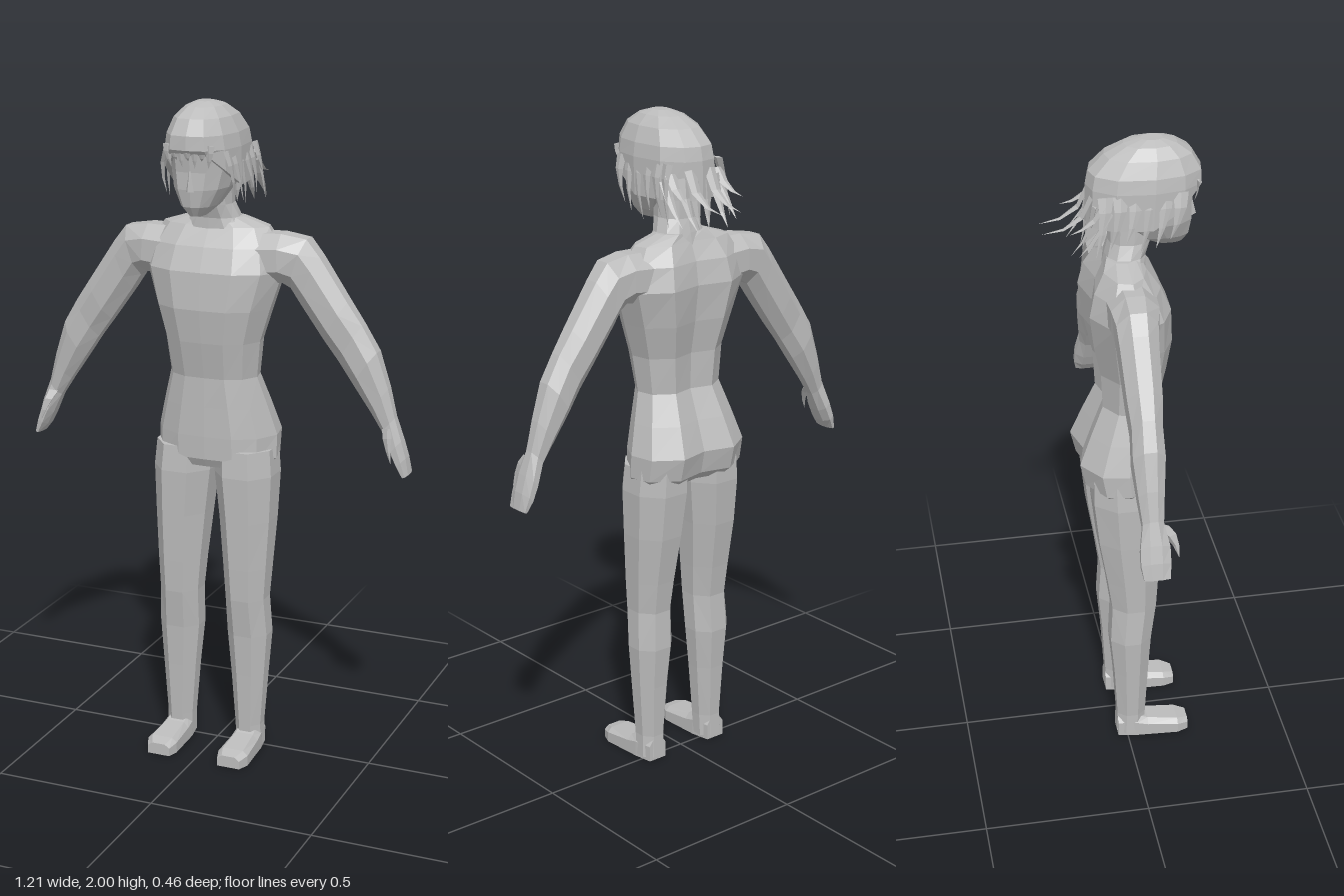
import * as THREE from 'three';

const grey = new THREE.MeshStandardMaterial({ color: 0xbcbcbc });
const V = (x, y, z) => new THREE.Vector3(x, y, z);

// Joins rings of equal length into a closed, faceted skin that always faces outward
function loft(rings) {
  const tris = [], n = rings[0].length, last = rings.length - 1;
  const centre = r => r.reduce((s, p) => s.add(p), V(0, 0, 0)).divideScalar(n);
  const bottom = centre(rings[0]), top = centre(rings[last]);
  for (let j = 0; j < n; j++) {
    const k = (j + 1) % n;
    for (let i = 0; i < last; i++) {
      const [a, b, c, d] = [rings[i][j], rings[i][k], rings[i + 1][k], rings[i + 1][j]];
      tris.push([a, b, c], [a, c, d]);
    }
    tris.push([bottom, rings[0][k], rings[0][j]], [top, rings[last][j], rings[last][k]]);
  }
  const volume = tris.reduce((s, [a, b, c]) => s + a.dot(b.clone().cross(c)), 0);
  if (volume < 0) tris.forEach(t => t.reverse());
  const g = new THREE.BufferGeometry().setFromPoints(tris.flat());
  g.computeVertexNormals();
  return g;
}

// Right-hand halves of cross-sections: x fraction, depth fraction (1 front, -1 back)
const BODY = [[0, 1], [0.45, 0.97], [0.8, 0.68], [1, 0.1], [0.92, -0.55], [0.5, -1], [0, -0.8]];
const SKULL = [[0, 1], [0.5, 0.95], [0.86, 0.62], [1, 0.1], [0.9, -0.55], [0.5, -0.92], [0, -1]];
const OCT = [[0.45, 1], [1, 0.4], [1, -0.4], [0.45, -1], [-0.45, -1], [-1, -0.4], [-1, 0.4], [-0.45, 1]];
const closed = half => [...half, ...half.slice(1, -1).reverse().map(([x, z]) => [-x, z])];

// Symmetric horizontal ring from [height, half width, front z, back z]
const slice = (half, [y, w, f, b], drop = () => 0) => closed(half).map(([x, z]) =>
  V(x * w, y - drop(z), (f + b) / 2 + z * (f - b) / 2));

// Flat tapered blade along a curve
function blade(points, width, thick, across) {
  const curve = new THREE.CatmullRomCurve3(points.map(p => V(...p)));
  const side = V(...across).normalize();
  return loft([0, 0.35, 0.7, 1].map(t => {
    const p = curve.getPoint(t), s = Math.max(0.02, 1 - t ** 1.4);
    const normal = side.clone().cross(curve.getTangent(t)).normalize();
    return [[width, 0], [0, thick], [-width, 0], [0, -thick]].map(([u, v]) =>
      p.clone().addScaledVector(side, u * s).addScaledVector(normal, v * s));
  }));
}

export function createModel() {
  const model = new THREE.Group();
  const add = (name, geometry, parent = model) => {
    const m = new THREE.Mesh(geometry, grey);
    m.name = name;
    parent.add(m);
    return m;
  };

  // Torso from hips to shoulders
  add('torso', loft([
    [0.915, 0.17, 0.09, -0.09], [0.94, 0.19, 0.103, -0.118], [1.01, 0.19, 0.105, -0.135],
    [1.1, 0.165, 0.105, -0.1], [1.19, 0.138, 0.105, -0.062], [1.3, 0.15, 0.128, -0.068],
    [1.4, 0.18, 0.142, -0.09], [1.51, 0.215, 0.135, -0.105], [1.58, 0.2, 0.105, -0.09],
    [1.635, 0.165, 0.065, -0.06], [1.66, 0.085, 0.05, -0.045]
  ].map(r => slice(BODY, r))));

  add('neck', loft([
    [1.61, 0.11, 0.07, -0.055], [1.66, 0.075, 0.07, -0.045],
    [1.7, 0.058, 0.085, -0.035], [1.8, 0.056, 0.1, -0.035]
  ].map(r => slice(SKULL, r))));

  // Head with narrow jaw and small nose
  add('head', loft([
    [1.682, 0.022, 0.178, 0.1], [1.71, 0.05, 0.196, 0.04], [1.76, 0.078, 0.203, -0.02],
    [1.81, 0.09, 0.202, -0.06], [1.87, 0.094, 0.21, -0.075], [1.93, 0.08, 0.19, -0.05]
  ].map(r => slice(SKULL, r))));
  add('nose', loft([
    [V(-0.016, 1.755, 0.195), V(0, 1.758, 0.219), V(0.016, 1.755, 0.195)],
    [V(-0.005, 1.815, 0.198), V(0, 1.815, 0.205), V(0.005, 1.815, 0.198)]
  ]));

  // Hair cap, cut high above the face and low at the nape
  const hair = new THREE.Group();
  hair.name = 'hair';
  model.add(hair);
  const drop = z => z > 0.9 ? 0 : z > 0.5 ? 0.05 : 0.1;
  add('hairCap', loft([
    slice(SKULL, [1.865, 0.108, 0.222, -0.1], drop),
    ...[[1.875, 0.107, 0.23, -0.098], [1.915, 0.1, 0.228, -0.09], [1.96, 0.08, 0.202, -0.045],
      [1.988, 0.052, 0.16, 0.01], [2, 0.024, 0.12, 0.06]].map(r => slice(SKULL, r))
  ]), hair);

  // Fringe
  for (let i = -3; i <= 3; i++) {
    const x = i * 0.021, z = 0.221 - Math.abs(i) * 0.004;
    add('fringeLock', blade([[x, 1.89, z], [x, 1.86, z], [x * 0.9, i % 2 ? 1.825 : 1.845, z - 0.008]],
      0.016, 0.004, [1, 0, 0]), hair);
  }

  for (const s of [-1, 1]) {
    const side = s > 0 ? 'left' : 'right';
    // Side and back locks
    for (let i = 0; i < 6; i++) {
      const z = 0.155 - i * 0.042, tip = 1.735 - (i % 3) * 0.018;
      add(side + 'SideLock', blade([[s * 0.092, 1.87, z], [s * 0.108, 1.81, z - 0.005],
        [s * (0.105 + 0.01 * (i % 2)), tip, z - 0.03]], 0.022, 0.005, [0, 0, 1]), hair);
    }
    [
      [[0.035, 1.85, -0.085], [0.036, 1.77, -0.13], [0.034, 1.745, -0.225]],
      [[0.055, 1.83, -0.08], [0.06, 1.75, -0.1], [0.055, 1.685, -0.145]],
      [[0.09, 1.82, -0.04], [0.1, 1.76, -0.08], [0.1, 1.7, -0.13]],
      [[0.085, 1.84, -0.06], [0.09, 1.79, -0.1], [0.1, 1.77, -0.155]],
      [[0.015, 1.82, -0.09], [0.02, 1.74, -0.095], [0.015, 1.68, -0.11]]
    ].forEach(path => add(side + 'BackLock',
      blade(path.map(([x, y, z]) => [s * x, y, z]), 0.021, 0.007, [1, 0, 0]), hair));

    // Arm and hand: upper x, y, lower x, y, front z, back z
    add(side + 'Arm', loft([
      [0.13, 1.62, 0.14, 1.47, 0.08, -0.065], [0.21, 1.622, 0.215, 1.48, 0.075, -0.062],
      [0.285, 1.61, 0.238, 1.465, 0.06, -0.058], [0.325, 1.56, 0.268, 1.42, 0.055, -0.055],
      [0.41, 1.435, 0.34, 1.32, 0.05, -0.05], [0.455, 1.37, 0.385, 1.26, 0.042, -0.045],
      [0.5, 1.295, 0.43, 1.195, 0.042, -0.05], [0.535, 1.19, 0.485, 1.115, 0.032, -0.042],
      [0.557, 1.105, 0.52, 1.06, 0.026, -0.034], [0.58, 1.04, 0.547, 1.0, 0.04, -0.044],
      [0.595, 0.99, 0.567, 0.962, 0.04, -0.045], [0.604, 0.94, 0.588, 0.935, 0.036, -0.038]
    ].map(([ux, uy, lx, ly, f, b]) => OCT.map(([t, z]) => V(
      s * (ux + (lx - ux) * (1 - t) / 2), uy + (ly - uy) * (1 - t) / 2,
      (f + b) / 2 + z * (f - b) / 2)))));
    add(side + 'Thumb', blade([[s * 0.54, 1.075, 0.02], [s * 0.55, 1.04, 0.052],
      [s * 0.566, 0.985, 0.066]], 0.022, 0.016, [0.3 * s, 0.3, 1]));

    // Leg: height, inner x, outer x, back z, front z
    add(side + 'Leg', loft([
      [0.01, 0.075, 0.157, -0.032, 0.055], [0.08, 0.073, 0.155, -0.03, 0.058],
      [0.25, 0.06, 0.167, -0.04, 0.066], [0.38, 0.048, 0.176, -0.052, 0.074],
      [0.5, 0.046, 0.17, -0.046, 0.09], [0.6, 0.038, 0.176, -0.06, 0.095],
      [0.75, 0.024, 0.184, -0.085, 0.1], [0.89, 0.008, 0.189, -0.1, 0.105],
      [0.97, 0.008, 0.182, -0.1, 0.098]
    ].map(([y, x0, x1, b, f]) => OCT.map(([x, z]) => V(
      s * ((x0 + x1) / 2 + x * (x1 - x0) / 2), y, (b + f) / 2 + z * (f - b) / 2)))));

    // Foot: z, inner x, outer x, top height
    add(side + 'Foot', loft([
      [-0.03, 0.085, 0.148, 0.07], [0.03, 0.074, 0.158, 0.07], [0.065, 0.073, 0.16, 0.058],
      [0.16, 0.07, 0.166, 0.046], [0.195, 0.08, 0.152, 0.036]
    ].map(([z, x0, x1, h]) => [[x0, 0], [x1, 0], [x1, h * 0.7], [x1 - 0.015, h], [x0 + 0.015, h],
      [x0, h * 0.7]].map(([x, y]) => V(s * x, y, z)))));
  }
  return model;
}
